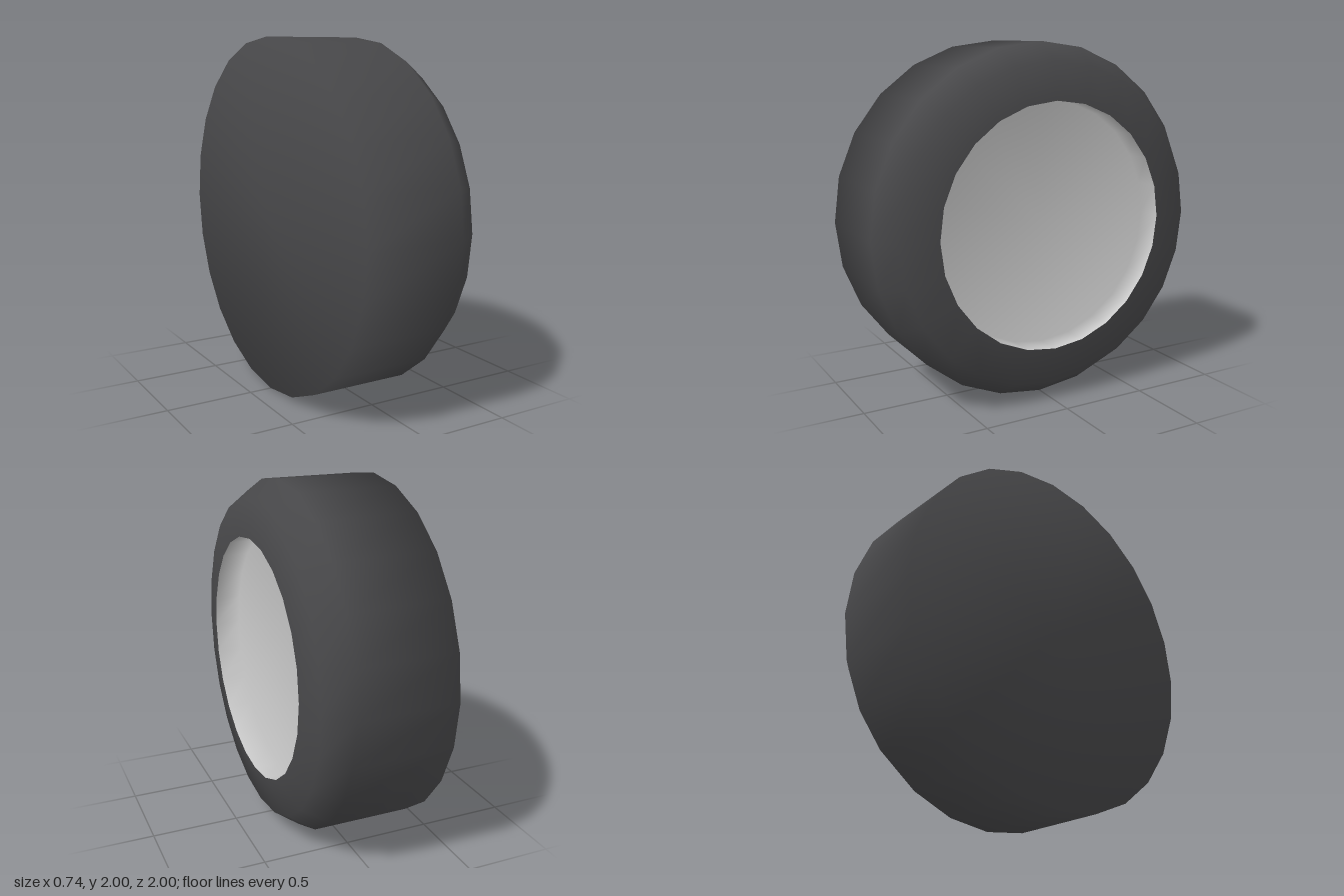
import * as THREE from 'three';

const SIDES = 24;

// Revolve a [radius, x] profile around the x axis
function revolve(name, profile, color) {
  const points = profile.map(([r, x]) => new THREE.Vector2(r, x));
  const geometry = new THREE.LatheGeometry(points, SIDES);
  geometry.rotateZ(-Math.PI / 2);
  const mesh = new THREE.Mesh(geometry, new THREE.MeshStandardMaterial({ color }));
  mesh.name = name;
  mesh.position.y = 1;
  return mesh;
}

export function createModel() {
  const group = new THREE.Group();
  group.name = 'wheel';

  // Tyre: closed inner side, straight tread, rounded outer shoulder
  group.add(revolve('tyre', [
    [0, -0.37], [1, -0.37], [1, 0.2], [0.9, 0.34], [0.69, 0.37],
  ], 0x48484a));

  // Hub: shallow recess in the outer side
  group.add(revolve('hub', [
    [0.69, 0.37], [0.69, 0.22], [0, 0.22],
  ], 0xcccccc));

  return group;
}
